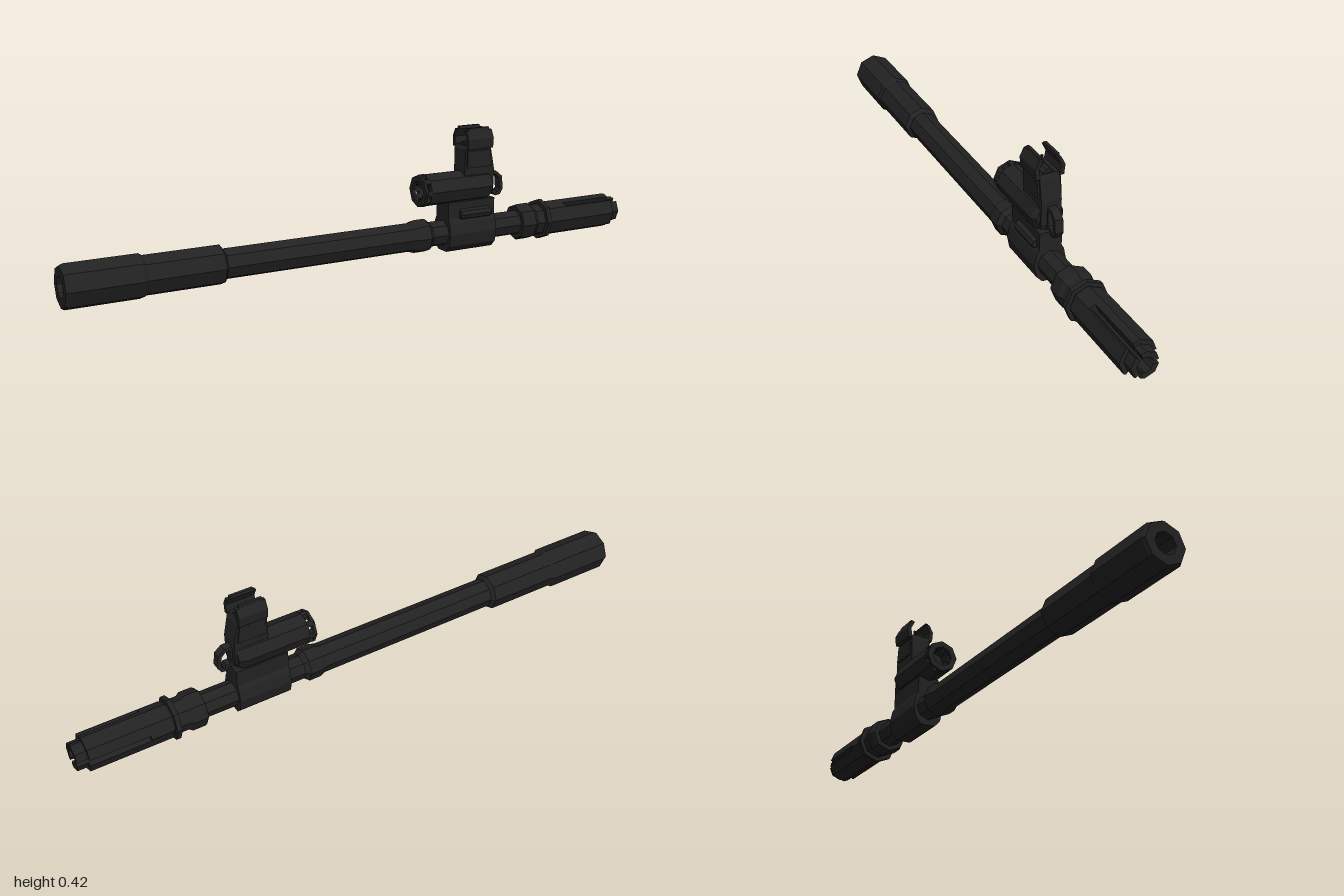
import * as THREE from 'three';

const AXIS = 0.07; // height of the barrel centre line

export function createModel() {
  const model = new THREE.Group();
  const steel = new THREE.MeshStandardMaterial({ color: 0x222222, flatShading: true });
  steel.name = 'black steel';

  const add = (name, geometry) => {
    const mesh = new THREE.Mesh(geometry, steel);
    mesh.name = name;
    model.add(mesh);
    return mesh;
  };
  // eight-sided turned part along x; profile points are [x, radius]
  const turned = (name, profile, y = AXIS, z = 0) => {
    const g = new THREE.LatheGeometry(profile.map(([x, r]) => new THREE.Vector2(r, x)), 8);
    return add(name, g.rotateZ(-Math.PI / 2).translate(0, y, z));
  };
  // [z, y] section carried along x
  const alongX = (name, section, x0, x1) => {
    const shape = new THREE.Shape(section.map(([z, y]) => new THREE.Vector2(-z, y)));
    const g = new THREE.ExtrudeGeometry(shape, { depth: x1 - x0, bevelEnabled: false });
    return add(name, g.rotateY(Math.PI / 2).translate(x0, 0, 0));
  };
  // [x, y] outline carried across z, optionally with a hole
  const acrossZ = (name, outline, width, hole, z = 0) => {
    const shape = new THREE.Shape(outline.map((p) => new THREE.Vector2(...p)));
    if (hole) shape.holes.push(new THREE.Path(hole.map((p) => new THREE.Vector2(...p))));
    const g = new THREE.ExtrudeGeometry(shape, { depth: width, bevelEnabled: false });
    return add(name, g.translate(0, 0, z - width / 2));
  };
  const box = (name, size, pos) => add(name, new THREE.BoxGeometry(...size).translate(...pos));
  const mirrored = (half) => [...half, ...half.slice().reverse().map(([z, y]) => [-z, y])];

  // barrel with open breech and stepped chamber
  turned('barrel', [
    [-0.93, 0], [-0.93, 0.034], [-1, 0.034], [-1, 0.064], [-0.99, 0.07], [-0.765, 0.07],
    [-0.755, 0.063], [-0.51, 0.063], [-0.5, 0.049], [0.155, 0.049], [0.175, 0.056],
    [0.215, 0.056], [0.23, 0.043], [0.6, 0.042], [0.6, 0],
  ]);

  // muzzle device: collar, lock ring and body
  turned('muzzleCollar', [
    [0.58, 0.03], [0.58, 0.058], [0.588, 0.063], [0.63, 0.063], [0.642, 0.055],
    [0.674, 0.055], [0.674, 0.07], [0.69, 0.07], [0.69, 0.055], [0.7, 0.06],
    [0.77, 0.06], [0.77, 0],
  ]);

  // three prongs with slots between them
  const octagonRadius = (r, a) => {
    const step = Math.PI / 4;
    const local = ((a % step) + step) % step;
    return r * Math.cos(step / 2) / Math.cos(local - step / 2);
  };
  const prongSection = (start, rOuter, rInner) => {
    const gap = 0.17;
    const end = start + 2 * Math.PI / 3;
    const angles = [start + gap];
    for (let k = 0; k < 16; k++) {
      const a = k * Math.PI / 4;
      if (a > start + gap + 0.01 && a < end - gap - 0.01) angles.push(a);
    }
    angles.push(end - gap);
    const at = (r) => (a) => {
      const q = octagonRadius(r, a);
      return [-q * Math.cos(a), AXIS + q * Math.sin(a)];
    };
    return [...angles.map(at(rOuter)), ...angles.slice().reverse().map(at(rInner))];
  };
  for (let i = 0; i < 3; i++) {
    const start = i * 2 * Math.PI / 3 + 0.03;
    alongX('prong', prongSection(start, 0.06, 0.026), 0.765, 0.965);
    alongX('prongTip', prongSection(start, 0.045, 0.026), 0.96, 1);
  }

  // gas block clamped round the barrel
  alongX('gasBlock', mirrored([
    [0.025, 0.009], [0.045, 0.03], [0.053, 0.07], [0.045, 0.108], [0.037, 0.122], [0.037, 0.178],
  ]), 0.287, 0.468);
  turned('clampPin', [
    [0.33, 0], [0.33, 0.014], [0.336, 0.018], [0.444, 0.018], [0.45, 0.014], [0.45, 0],
  ], 0.135, 0.037);

  // gas tube housing, hollow at the rear
  const housingY = 0.222;
  turned('gasHousing', [
    [0.25, 0], [0.25, 0.034], [0.214, 0.034], [0.214, 0.054], [0.44, 0.054], [0.458, 0.044], [0.458, 0],
  ], housingY);
  turned('housingRearRing', [
    [0.2, 0.034], [0.19, 0.034], [0.19, 0.054], [0.2, 0.054], [0.2, 0.034],
  ], housingY);
  for (let i = 0; i < 8; i++) {
    const a = i * Math.PI / 4;
    const bar = box('housingRib', [0.018, 0.018, 0.022], [0, 0, 0]);
    bar.position.set(0.207, housingY + 0.042 * Math.sin(a), 0.042 * Math.cos(a));
    bar.rotation.x = -a;
  }

  // sling loop at the front of the housing
  acrossZ('slingLoop',
    [[0.45, 0.265], [0.49, 0.262], [0.513, 0.243], [0.518, 0.2], [0.506, 0.18], [0.488, 0.178],
      [0.48, 0.19], [0.45, 0.19]], 0.027,
    [[0.472, 0.25], [0.472, 0.2], [0.488, 0.2], [0.494, 0.188], [0.504, 0.2], [0.502, 0.236], [0.488, 0.25]]);

  // sight tower
  acrossZ('sightTower',
    [[0.35, 0.2], [0.465, 0.2], [0.466, 0.28], [0.452, 0.35], [0.445, 0.362], [0.358, 0.362], [0.352, 0.35]], 0.066);
  alongX('towerCap', mirrored([[0.02, 0.358], [0.018, 0.364], [0.006, 0.373]]), 0.365, 0.44);
  for (const s of [-1, 1]) {
    // raised cheek plate and bent guard wing
    acrossZ('cheekPlate',
      [[0.358, 0.288], [0.455, 0.288], [0.446, 0.345], [0.358, 0.345]], 0.012, null, s * 0.0325);
    alongX('sightWing', [
      [0.03, 0.352], [0.046, 0.352], [0.049, 0.385], [0.035, 0.412], [0.022, 0.412], [0.036, 0.385],
    ].map(([z, y]) => [z * s, y]), 0.354, 0.452);
    alongX('wingTip', [
      [0.0215, 0.411], [0.035, 0.411], [0.033, 0.42], [0.023, 0.42],
    ].map(([z, y]) => [z * s, y]), 0.363, 0.442);
  }
  add('sightPost', new THREE.CylinderGeometry(0.004, 0.005, 0.04, 8).translate(0.4, 0.38, 0));

  return model;
}
